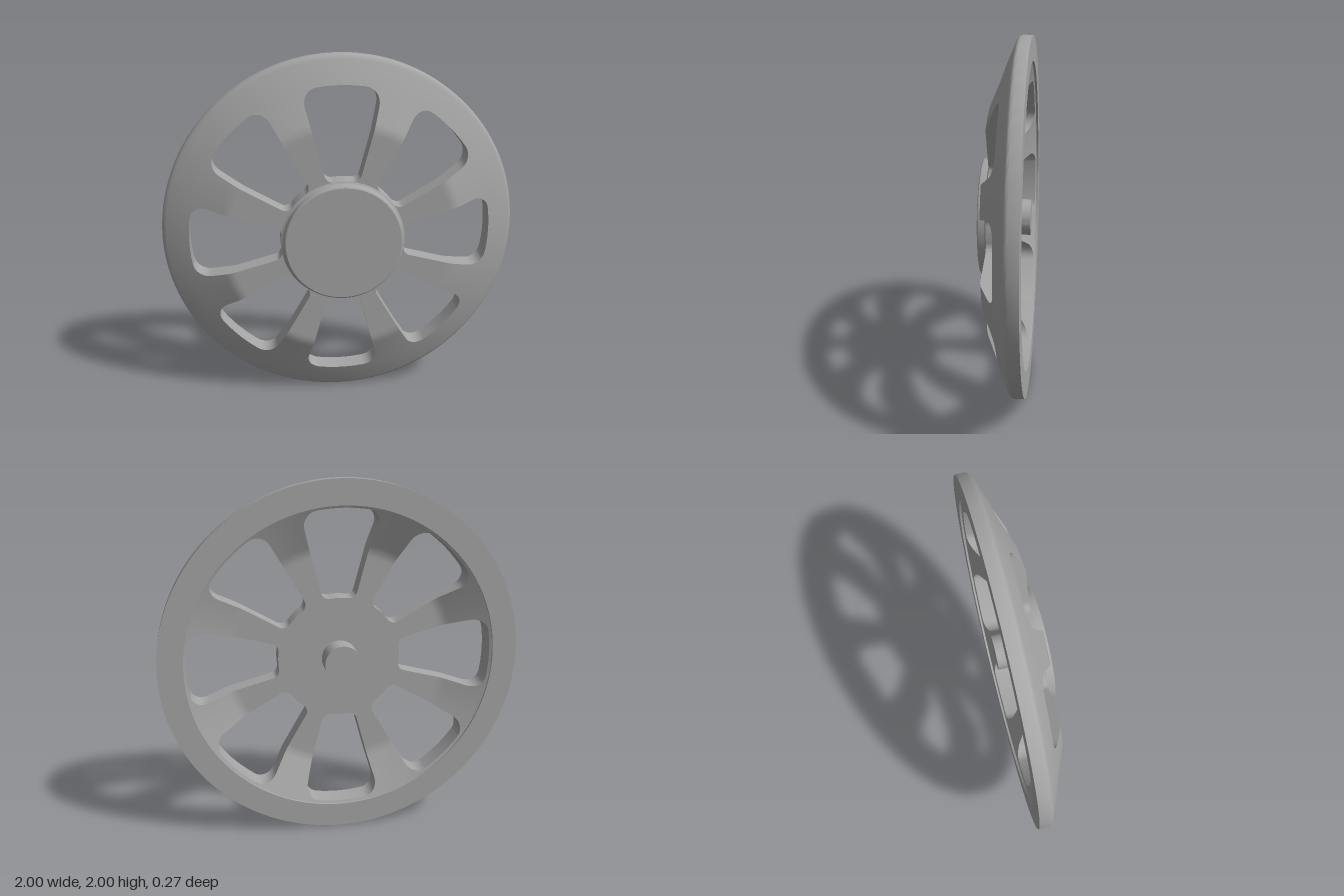
import * as THREE from 'three';
import { toCreasedNormals } from 'three/addons/utils/BufferGeometryUtils.js';

const R_IN = 0.345, R_OUT = 0.848;   // radial limits of the windows
const SPOKES = 8, SEGMENTS = 128;
const CREASE = 0.5;

// Dished plate: flat, then a soft bend into a straight cone
function dish(r, bendAt) {
  const soft = 0.03, slope = 0.424, d = r - bendAt;
  if (d < -soft) return 0;
  if (d > soft) return -slope * d;
  return -slope * (d + soft) ** 2 / (4 * soft);
}
const frontZ = r => 0.085 + dish(r, 0.65);
const backZ = r => -0.02 + dish(r, 0.62);

// Half angle of a spoke at radius r, widening into the rounded window corners
function spokeHalfAngle(r) {
  const cIn = 0.042, cOut = 0.085;
  const round = (c, d) => d >= c ? 0 : c - Math.sqrt(Math.max(0, c * c - (c - d) ** 2));
  const fillet = round(cIn, r - R_IN) + round(cOut, R_OUT - r);
  return Math.PI / 24 + fillet / r;
}

// Radii sampled finely round the corners and over the bend
function spokeRadii() {
  const radii = [], n = 8;
  for (let i = 0; i <= n; i++) {
    const k = 1 - Math.cos(i / n * Math.PI / 2);
    radii.push(R_IN + 0.042 * k, R_OUT - 0.085 * k);
  }
  for (let r = 0.44; r < 0.74; r += r < 0.58 ? 0.05 : 0.01) radii.push(r);
  return radii.sort((a, b) => a - b);
}

// Spoke lofted outwards from closed cross-sections
function spokeGeometry() {
  const across = 10, ring = 2 * (across + 1);
  const positions = [], index = [];
  const radii = spokeRadii();
  radii.forEach((r, j) => {
    const half = spokeHalfAngle(r);
    for (let i = 0; i < ring; i++) {
      const front = i <= across;
      const t = front ? i / across : (ring - 1 - i) / across;
      const a = half * (2 * t - 1);
      positions.push(r * Math.cos(a), r * Math.sin(a), front ? frontZ(r) : backZ(r));
      if (j === 0) continue;
      const n = (i + 1) % ring, p = (j - 1) * ring, q = j * ring;
      index.push(p + i, q + i, q + n, p + i, q + n, p + n);
    }
  });
  const geo = new THREE.BufferGeometry();
  geo.setAttribute('position', new THREE.Float32BufferAttribute(positions, 3));
  geo.setIndex(index);
  return toCreasedNormals(geo, CREASE);
}

// Turned part around the z axis from [radius, z] points
function turned(points, segments = SEGMENTS) {
  const geo = new THREE.LatheGeometry(points.map(p => new THREE.Vector2(...p)), segments);
  geo.rotateX(Math.PI / 2);
  return toCreasedNormals(geo, CREASE);
}

export function createModel() {
  const wheel = new THREE.Group();
  wheel.name = 'wheel';
  const grey = new THREE.MeshStandardMaterial({ color: 0xa6a6a6 });
  grey.name = 'grey';

  const add = (name, geo) => {
    const mesh = new THREE.Mesh(geo, grey);
    mesh.name = name;
    wheel.add(mesh);
    return mesh;
  };

  // Rim with rounded front edge and a stepped back
  add('rim', turned([
    [R_OUT, frontZ(R_OUT)], [R_OUT, backZ(R_OUT)], [0.862, backZ(0.862)],
    [0.862, -0.135], [1, -0.135], [1, -0.08], [0.997, -0.07],
    [0.989, -0.061], [0.975, frontZ(0.975)], [R_OUT, frontZ(R_OUT)],
  ]));

  // Hub plate
  add('hubPlate', turned([
    [0, backZ(0)], [R_IN, backZ(0)], [R_IN, frontZ(0)], [0, frontZ(0)],
  ]));

  // Hub cap with a small fillet at its foot
  add('hubCap', turned([
    [R_IN, 0.085], [0.337, 0.088], [0.332, 0.093], [0.33, 0.1],
    [0.33, 0.124], [0.327, 0.131], [0.32, 0.135], [0, 0.135],
  ]));

  // Axle stub at the back
  add('axle', turned([[0, -0.135], [0.1, -0.135], [0.1, -0.02]], 64));

  // Spokes
  const spoke = spokeGeometry();
  for (let i = 0; i < SPOKES; i++) {
    add('spoke', spoke).rotation.z = (i + 0.5) / SPOKES * Math.PI * 2;
  }

  wheel.children.forEach(part => { part.position.y = 1; });
  return wheel;
}
